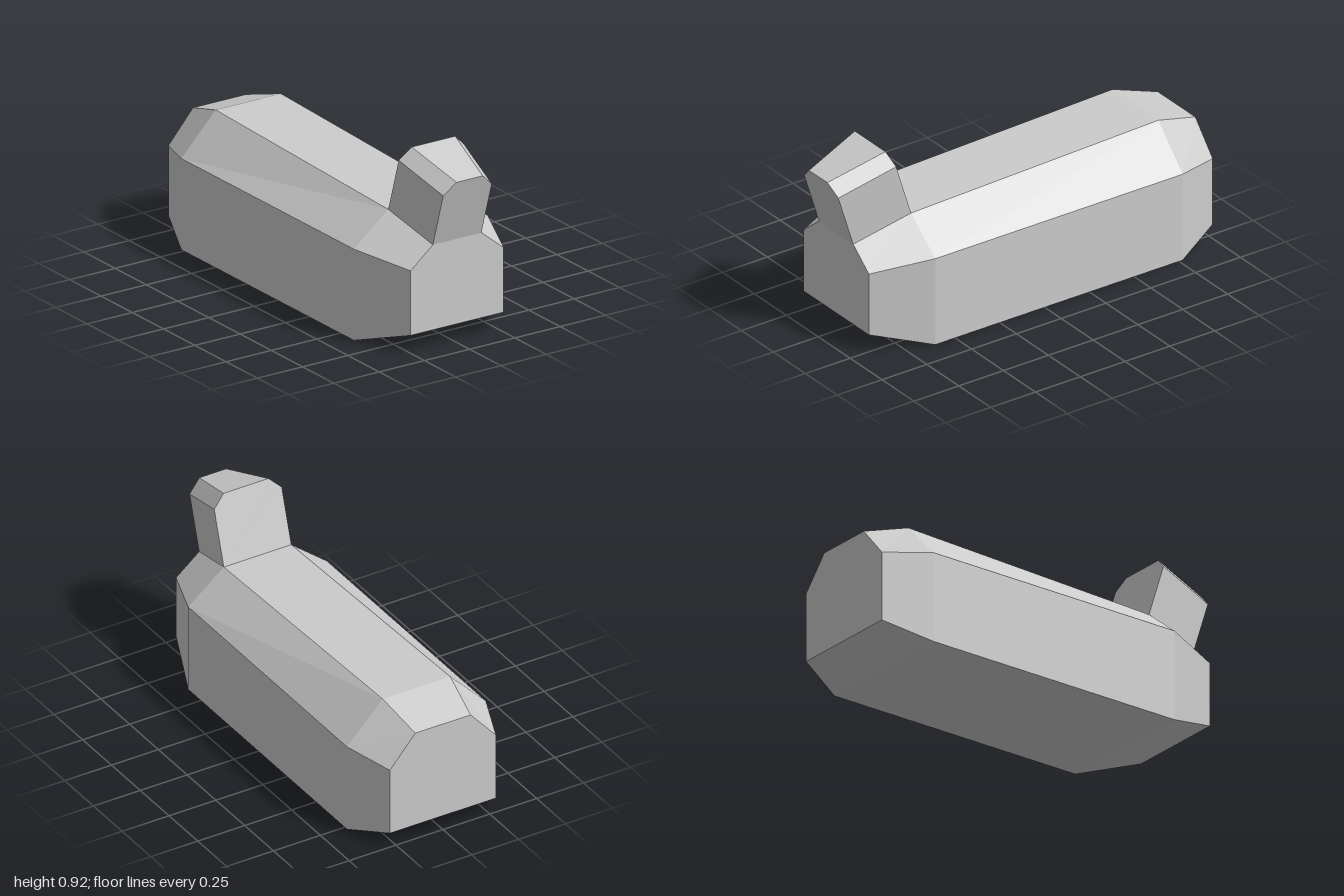
import * as THREE from 'three';

// Mirror half-section points [x, y, z] (bottom to top) into a full ring,
// counter-clockwise as seen from the front.
function ring(half) {
  const mirrored = half.map(([x, y, z]) => [-x, y, z]).reverse();
  return [...half, ...mirrored];
}

// Skin rings ordered front to back and cap both ends.
function loft(halves, openBottom = false) {
  const rings = halves.map(ring);
  const n = rings[0].length;
  const index = [];
  for (let r = 0; r < rings.length - 1; r++) {
    for (let i = 0; i < n; i++) {
      if (openBottom && i === n - 1) continue;
      const j = (i + 1) % n;
      const a = r * n, b = a + n;
      index.push(a + i, b + i, b + j, a + i, b + j, a + j);
    }
  }
  const last = (rings.length - 1) * n;
  for (let i = 1; i < n - 1; i++) {
    index.push(0, i, i + 1);
    index.push(last, last + i + 1, last + i);
  }
  const indexed = new THREE.BufferGeometry();
  indexed.setAttribute('position', new THREE.Float32BufferAttribute(rings.flat(2), 3));
  indexed.setIndex(index);
  const geometry = indexed.toNonIndexed();
  geometry.computeVertexNormals();
  return geometry;
}

export function createModel() {
  const model = new THREE.Group();
  const grey = new THREE.MeshStandardMaterial({ name: 'light grey', color: 0xcccccc });

  // Body: half width, bottom, shoulder, top half width, top, z
  const bodyHalves = [
    [0.257, 0.092, 0.407, 0.134, 0.507, 0.9],
    [0.37, 0, 0.445, 0.18, 0.597, 0.61],
    [0.37, 0, 0.445, 0.18, 0.64, -0.77],
    [0.283, 0.075, 0.415, 0.147, 0.57, -1],
  ].map(([w, bottom, shoulder, topW, top, z]) => [
    [w, bottom, z], [w, shoulder, z], [topW, top, z],
  ]);
  const body = new THREE.Mesh(loft(bodyHalves), grey);
  body.name = 'body';

  // Head: leans forward and grows out of the front top facet
  const headHalves = [
    [[0.134, 0.507, 0.9], [0.134, 0.772, 0.983], [0.072, 0.83, 1]],
    [[0.18, 0.597, 0.61], [0.18, 0.863, 0.693], [0.12, 0.92, 0.71]],
  ];
  const head = new THREE.Mesh(loft(headHalves, true), grey);
  head.name = 'head';

  model.add(body, head);
  return model;
}
